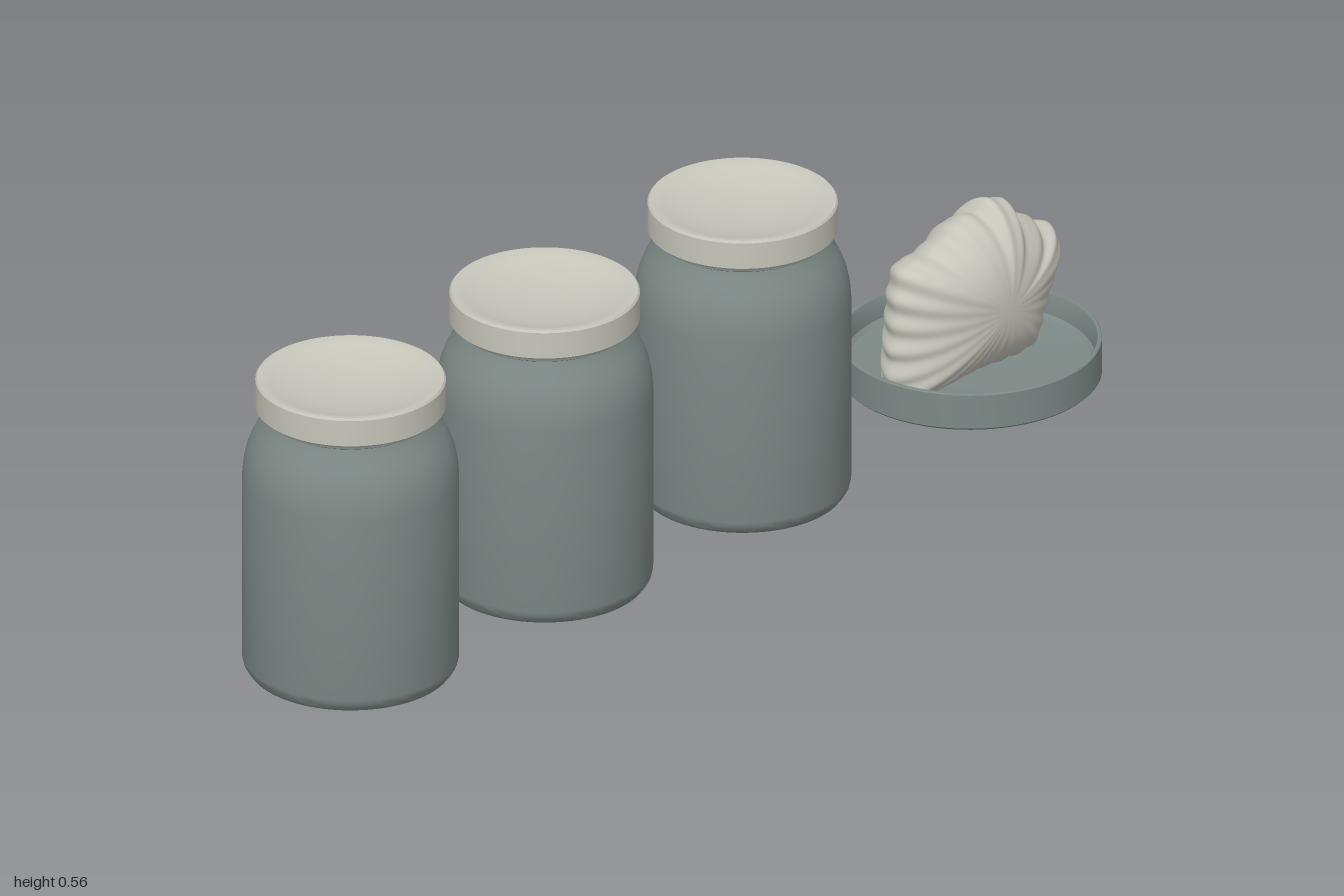
import * as THREE from 'three';
import { toCreasedNormals } from 'three/addons/utils/BufferGeometryUtils.js';

const glaze = new THREE.MeshStandardMaterial({ color: 0x7d8986 });
glaze.name = 'greyGreenGlaze';
const cream = new THREE.MeshStandardMaterial({ color: 0xc6c5ba });
cream.name = 'cream';

// Turned part from a profile of [radius, height], edges over 35 degrees stay sharp
function turned(name, profile, material) {
  const points = profile.map(([r, y]) => new THREE.Vector2(r, y));
  const mesh = new THREE.Mesh(toCreasedNormals(new THREE.LatheGeometry(points, 72), 0.61), material);
  mesh.name = name;
  return mesh;
}

function createJar(x) {
  const jar = new THREE.Group();
  jar.name = 'jar';
  jar.add(turned('jarBody', [
    [0, 0], [0.166, 0], [0.177, 0.005], [0.183, 0.013], [0.187, 0.02], [0.189, 0.03],
    [0.189, 0.375], [0.187, 0.4], [0.182, 0.425], [0.174, 0.447], [0.164, 0.467],
    [0.153, 0.485], [0.148, 0.497], [0.153, 0.5], [0.153, 0.505], [0.146, 0.512],
  ], glaze));
  // Lid with a shallow dished top
  jar.add(turned('jarLid', [
    [0, 0.508], [0.162, 0.508], [0.166, 0.512], [0.166, 0.561], [0.163, 0.565], [0.157, 0.565],
    [0.14, 0.559], [0.115, 0.552], [0.08, 0.545], [0.04, 0.541], [0, 0.54],
  ], cream));
  jar.position.set(x, 0, 0.042);
  return jar;
}

// Plump ribbed shell: the outline swells from each side towards the middle
function createShell() {
  const outline = [
    [0.575, 0.018], [0.572, 0.07], [0.58, 0.15], [0.588, 0.214], [0.607, 0.258], [0.64, 0.262],
    [0.684, 0.272], [0.71, 0.285], [0.743, 0.305], [0.782, 0.302], [0.815, 0.32], [0.85, 0.307],
    [0.875, 0.27], [0.905, 0.262], [0.925, 0.233], [0.96, 0.223], [0.973, 0.2],
    [0.95, 0.135], [0.925, 0.07], [0.9, 0.018], [0.74, 0.015],
  ].map(([x, y]) => new THREE.Vector3(x, y, 0));
  const around = 240, across = 36, halfWidth = 0.096;
  const centre = new THREE.Vector3(0.775, 0.15, 0);
  const rim = new THREE.CatmullRomCurve3(outline, true, 'centripetal').getSpacedPoints(around);
  const positions = [], indices = [];
  for (let i = 0; i < around; i++) {
    const rib = Math.cos((i / around) * Math.PI * 2 * 26);
    for (let j = 0; j <= across; j++) {
      const angle = (j / across) * Math.PI;
      const r = Math.min(1, Math.sin(angle));
      const swell = 1 + 0.018 * rib * r * r;
      const p = centre.clone().lerp(rim[i], r * swell);
      const z = Math.sign(Math.cos(angle)) * halfWidth * Math.pow(Math.max(0, 1 - Math.pow(r, 2.5)), 0.6);
      positions.push(p.x, p.y, z * swell);
      if (j === across) continue;
      const a = i * (across + 1) + j;
      const b = ((i + 1) % around) * (across + 1) + j;
      indices.push(a, b, b + 1, a, b + 1, a + 1);
    }
  }
  const geometry = new THREE.BufferGeometry();
  geometry.setAttribute('position', new THREE.Float32BufferAttribute(positions, 3));
  geometry.setIndex(indices);
  geometry.computeVertexNormals();
  const shell = new THREE.Mesh(geometry, cream);
  shell.name = 'shell';
  return shell;
}

export function createModel() {
  const model = new THREE.Group();
  model.name = 'jarsAndShellDish';
  for (const x of [-0.811, -0.329, 0.163]) model.add(createJar(x));

  // Shallow dish with a thin wall
  const dish = turned('dish', [
    [0, 0], [0.226, 0], [0.23, 0.004], [0.23, 0.068], [0.228, 0.07], [0.223, 0.07],
    [0.221, 0.067], [0.219, 0.028], [0.212, 0.022], [0.15, 0.017], [0, 0.013],
  ], glaze);
  dish.position.x = 0.77;
  model.add(dish, createShell());
  return model;
}
